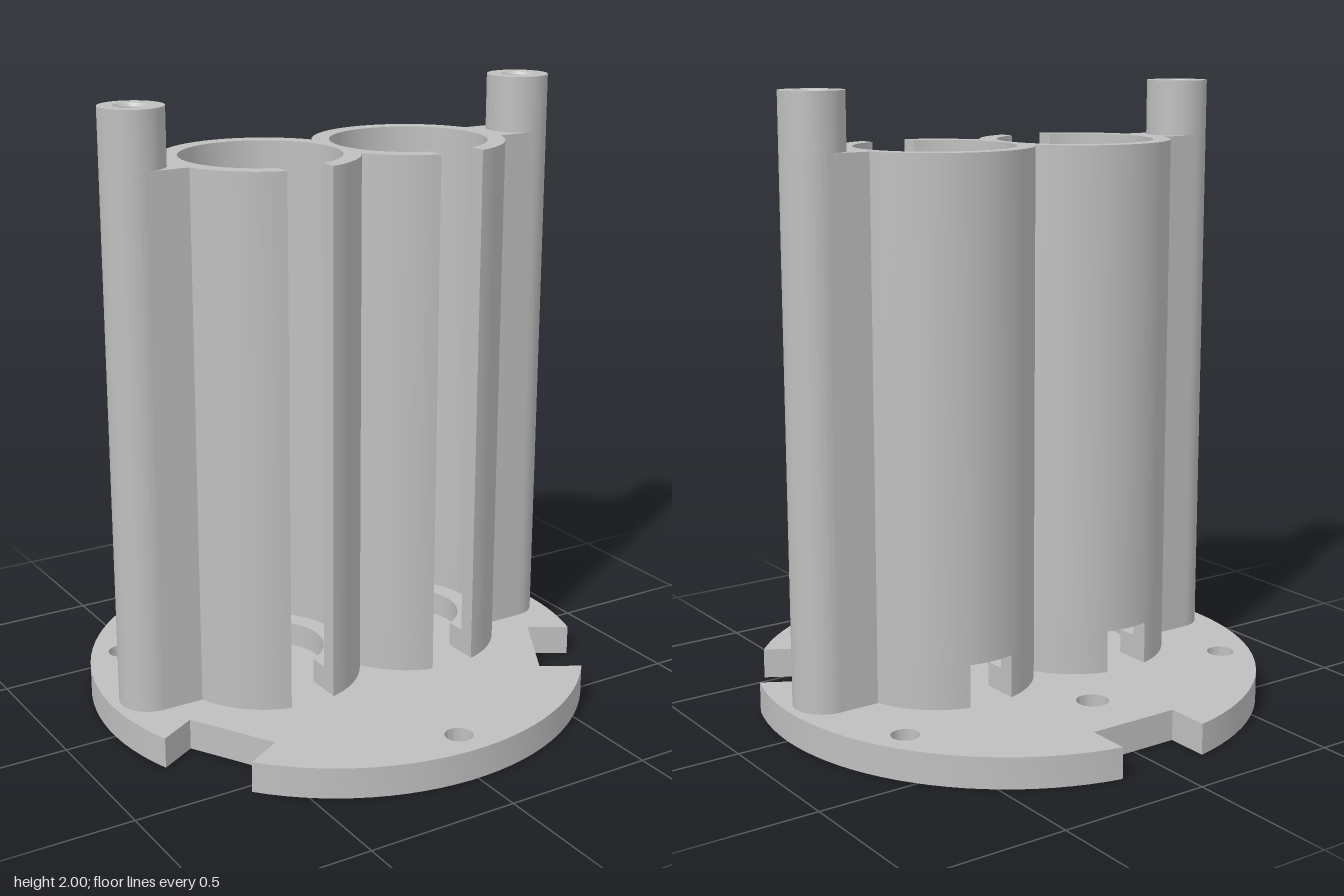
import * as THREE from 'three';
import { toCreasedNormals } from 'three/addons/utils/BufferGeometryUtils.js';

const BASE = 0.10, SLOT_TOP = 0.24, TUBE_TOP = 1.82, PILLAR_TOP = 2;
const C = 0.271, R = 0.31, r = 0.2535, LIP = 0.19, S = 0.078; // tube centre, radii, half slot width
const P = 0.70, PR = 0.1, HOLE = 0.045; // pillar centre, radius, bore
const H = Math.PI / 2;

// Points along an arc; plan coordinates are x right, y towards the back
function arc(cx, cy, rad, a0, a1) {
  const n = Math.max(4, Math.ceil(Math.abs(a1 - a0) / (Math.PI / 48)));
  return Array.from({ length: n + 1 }, (_, i) => {
    const a = a0 + (a1 - a0) * i / n;
    return new THREE.Vector2(cx + rad * Math.cos(a), cy + rad * Math.sin(a));
  });
}
const circle = (x, y, rad) => new THREE.Path(arc(x, y, rad, 0, Math.PI * 2).slice(0, -1));

// Vertical prism from a plan outline
function prism(points, y0, y1, holes = []) {
  const shape = new THREE.Shape(points);
  shape.holes.push(...holes);
  const geo = new THREE.ExtrudeGeometry(shape, { depth: y1 - y0, bevelEnabled: false });
  geo.rotateX(-H);
  geo.translate(0, y0, 0);
  return toCreasedNormals(geo, 0.5);
}

export function createModel() {
  const grey = new THREE.MeshStandardMaterial({ color: 0xbfbfbf });
  grey.name = 'light grey';
  const model = new THREE.Group();
  model.name = 'twinTubeHolder';
  const add = (name, geo) => {
    const mesh = new THREE.Mesh(geo, grey);
    mesh.name = name;
    model.add(mesh);
  };

  // Round base plate with three square notches and four screw holes
  const DR = 0.83, NW = 0.155, ND = 0.675;
  const half = Math.asin(NW / DR), third = Math.PI * 2 / 3;
  const plate = [];
  for (let k = 0; k < 3; k++) {
    const a = H + k * third, b = a + third;
    plate.push(...arc(0, 0, DR, a + half, b - half));
    for (const w of [-NW, NW]) {
      plate.push(new THREE.Vector2(
        ND * Math.cos(b) - w * Math.sin(b), ND * Math.sin(b) + w * Math.cos(b)));
    }
  }
  add('basePlate', prism(plate, 0, BASE, [
    circle(0, 0.47, 0.052), circle(0, -0.725, 0.045),
    circle(0.63, 0.365, 0.045), circle(-0.63, 0.365, 0.045),
  ]));

  // Outline pieces of one tube with its side pillar
  const cut = rad => Math.asin(S / rad);
  const web = Math.asin(PR / R), cusp = Math.acos(C / R);
  const tube = (rad, a0, a1) => arc(C, 0, rad, a0, a1);
  const pillarSide = [
    ...tube(R, -H + cut(R), -web), ...arc(P, 0, PR, -H, H),
  ];
  const middleFront = tube(R, Math.PI + cusp, 3 * H - cut(R));
  const upper = [
    ...pillarSide, ...tube(R, web, Math.PI - cusp), ...middleFront,
    ...tube(r, 3 * H - cut(r), -H + cut(r)),
  ];
  const lowerOuter = [
    ...pillarSide, ...tube(R, web, H - cut(R)),
    ...tube(r, H - cut(r), -H + cut(r)),
  ];
  const lowerInner = [
    ...tube(R, H + cut(R), Math.PI - cusp), ...middleFront,
    ...tube(r, 3 * H - cut(r), H + cut(r)),
  ];
  // Ledge inside the tube foot, split by the slots
  const LR = r + 0.005;
  const ledge = start => [
    ...tube(LR, start + cut(LR), start + Math.PI - cut(LR)),
    ...tube(LIP, start + Math.PI - cut(LIP), start + cut(LIP)),
  ];

  for (const [side, s] of [['left', 1], ['right', -1]]) {
    const flip = pts => pts.map(p => new THREE.Vector2(p.x * s, p.y));
    const bore = () => [circle(P * s, 0, HOLE)];
    add(side + 'TubeWall', prism(flip(upper), SLOT_TOP, TUBE_TOP, bore()));
    add(side + 'TubeFootOuter', prism(flip(lowerOuter), BASE, SLOT_TOP, bore()));
    add(side + 'TubeFootInner', prism(flip(lowerInner), BASE, SLOT_TOP));
    add(side + 'LedgeOuter', prism(flip(ledge(-H)), BASE, 0.18));
    add(side + 'LedgeInner', prism(flip(ledge(H)), BASE, 0.18));

    // Pillar top with a chamfered screw bore
    const profile = [[PR, TUBE_TOP], [PR, PILLAR_TOP], [0.053, PILLAR_TOP],
      [HOLE, PILLAR_TOP - 0.01], [HOLE, TUBE_TOP]].map(p => new THREE.Vector2(...p));
    const top = new THREE.LatheGeometry(profile, 64);
    top.translate(P * s, 0, 0);
    add(side + 'PillarTop', toCreasedNormals(top, 0.5));
  }

  model.children.forEach(m => m.geometry.translate(0, 0, -0.0075));
  return model;
}
